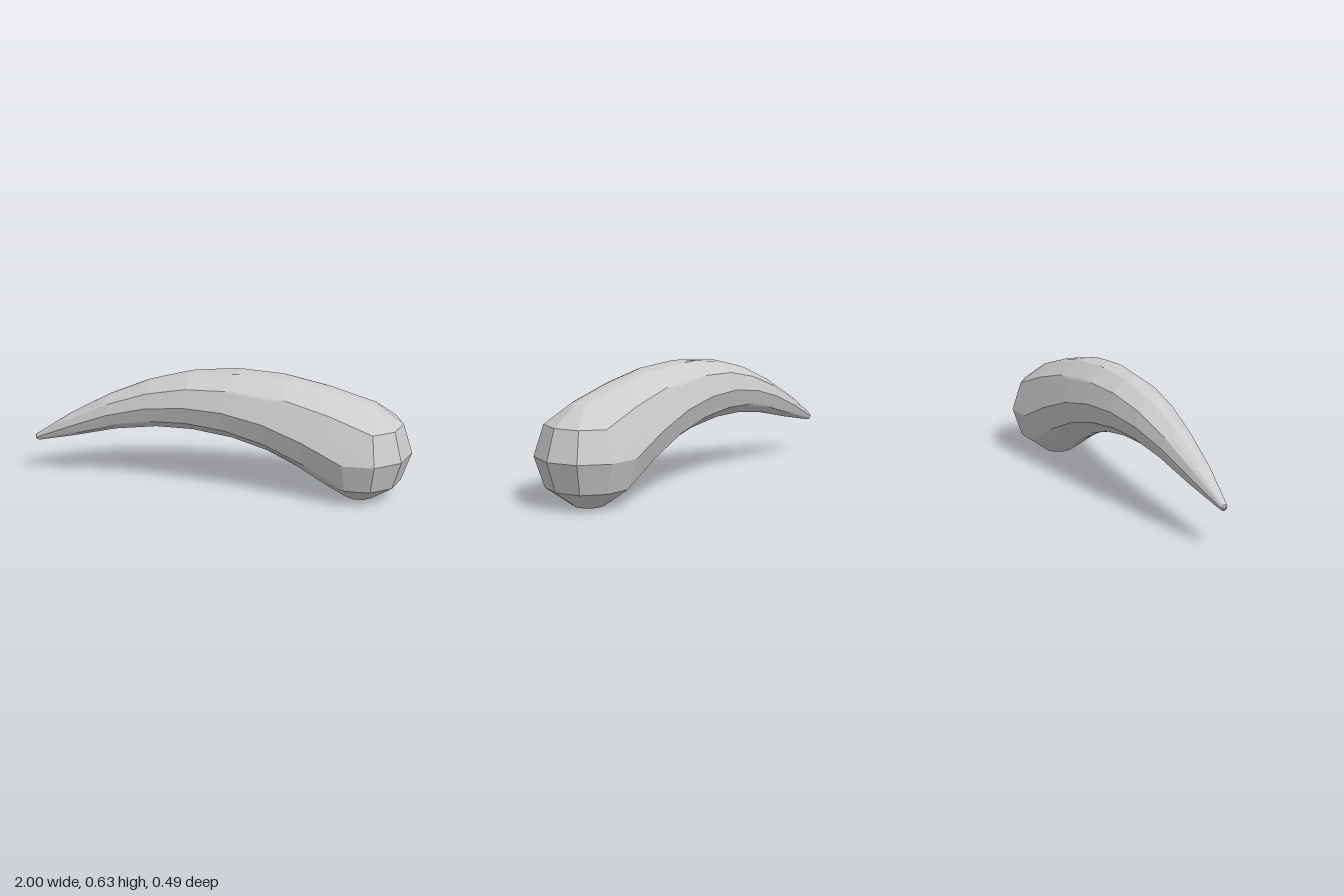
import * as THREE from 'three';
import { ConvexGeometry } from 'three/addons/geometries/ConvexGeometry.js';
import { mergeGeometries } from 'three/addons/utils/BufferGeometryUtils.js';

// Spine of the horn, from the blunt base to the tip: x, y, radius
const SPINE = [
  [0.74, 0.247, 0.26],
  [0.525, 0.345, 0.231],
  [0.312, 0.42, 0.205],
  [0.095, 0.461, 0.18],
  [-0.118, 0.467, 0.155],
  [-0.335, 0.44, 0.126],
  [-0.556, 0.38, 0.095],
  [-0.775, 0.295, 0.063],
  [-0.98, 0.208, 0.02],
];
const STEP = Math.PI / 5;

// Corners of a ten-sided ball with flattened poles
function ballPoints([x, y, r]) {
  const points = [];
  for (let lat = -2; lat <= 2; lat++) {
    const ring = r * Math.cos(lat * STEP);
    for (let i = 0; i < 10; i++) {
      points.push(new THREE.Vector3(
        x + ring * Math.cos(i * STEP),
        y + r * Math.sin(lat * STEP),
        ring * Math.sin(i * STEP),
      ));
    }
  }
  return points;
}

export function createModel() {
  const group = new THREE.Group();
  group.name = 'curvedHorn';

  // Each segment wraps two neighbouring balls of the spine
  const segments = [];
  for (let i = 0; i < SPINE.length - 1; i++) {
    segments.push(new ConvexGeometry([...ballPoints(SPINE[i]), ...ballPoints(SPINE[i + 1])]));
  }

  const material = new THREE.MeshStandardMaterial({ color: 0xcccccc, flatShading: true });
  const horn = new THREE.Mesh(mergeGeometries(segments), material);
  horn.name = 'horn';
  group.add(horn);
  return group;
}
